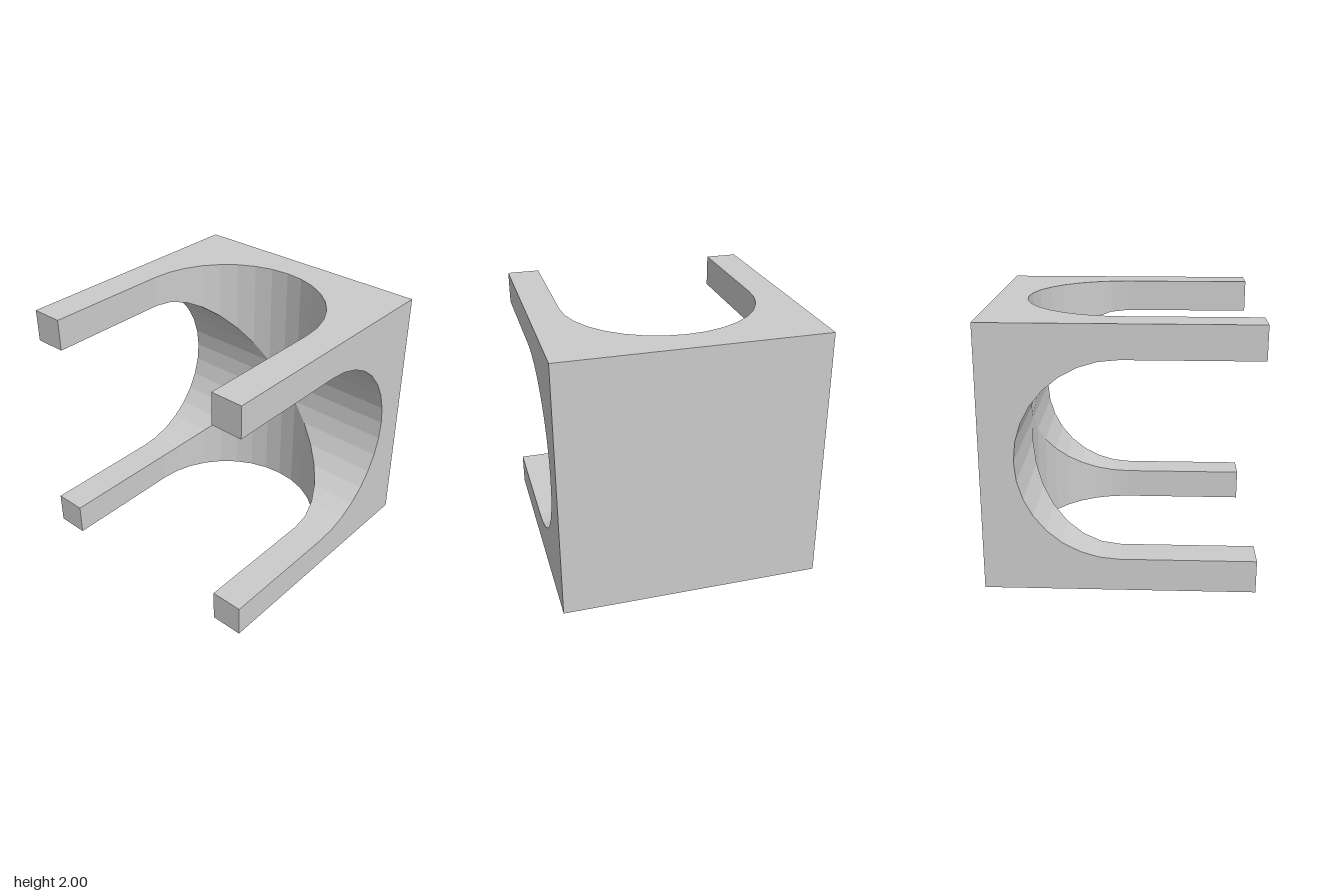
import * as THREE from 'three';

const HALF = 1;        // half the cube's side
const RADIUS = 0.75;   // radius of both U-shaped channels
const SEGMENTS = 16;   // facets in each half circle

// U-shaped channel outline as (across, z), open towards +z
function channelProfile() {
  const points = [new THREE.Vector2(-RADIUS, HALF)];
  for (let i = 0; i <= SEGMENTS; i++) {
    const a = Math.PI * (1 - i / SEGMENTS);
    points.push(new THREE.Vector2(RADIUS * Math.cos(a), -RADIUS * Math.sin(a)));
  }
  points.push(new THREE.Vector2(RADIUS, HALF));
  return points;
}

// Channel wall from the diagonal where the two channels meet out to the cube's face
function channelWallGeometry(profile) {
  const positions = [];
  for (let i = 0; i < profile.length - 1; i++) {
    const p = profile[i], q = profile[i + 1];
    const pIn = [p.x, Math.abs(p.x), p.y], pOut = [p.x, HALF, p.y];
    const qIn = [q.x, Math.abs(q.x), q.y], qOut = [q.x, HALF, q.y];
    positions.push(...pIn, ...qIn, ...qOut, ...pIn, ...qOut, ...pOut);
  }
  const geometry = new THREE.BufferGeometry();
  geometry.setAttribute('position', new THREE.Float32BufferAttribute(positions, 3));
  geometry.computeVertexNormals();
  return geometry;
}

// Flat outer face with the U cut out of it
function sideFaceGeometry(profile) {
  const shape = new THREE.Shape([
    ...profile.map((p) => new THREE.Vector2(p.x, -p.y)),
    new THREE.Vector2(HALF, -HALF),
    new THREE.Vector2(HALF, HALF),
    new THREE.Vector2(-HALF, HALF),
    new THREE.Vector2(-HALF, -HALF),
  ]);
  return new THREE.ShapeGeometry(shape).rotateX(-Math.PI / 2).translate(0, HALF, 0);
}

export function createModel() {
  const material = new THREE.MeshStandardMaterial({ color: 0xcccccc, flatShading: true });
  const profile = channelProfile();
  const postSize = HALF - RADIUS;
  const postCentre = (HALF + RADIUS) / 2;

  const parts = {
    channelWall: channelWallGeometry(profile),
    sideFace: sideFaceGeometry(profile),
    postEnd: new THREE.PlaneGeometry(postSize, postSize).translate(postCentre, postCentre, HALF),
  };

  const block = new THREE.Group();
  block.name = 'channelledBlock';
  block.position.y = HALF;

  // The same quarter repeats on the top, left, bottom and right
  ['top', 'right', 'bottom', 'left'].forEach((side, k) => {
    const quarter = new THREE.Group();
    quarter.name = `${side}Quarter`;
    for (const [name, geometry] of Object.entries(parts)) {
      const mesh = new THREE.Mesh(geometry, material);
      mesh.name = name;
      quarter.add(mesh);
    }
    quarter.rotation.z = -k * Math.PI / 2 * -1;
    block.add(quarter);
  });

  // Solid back
  const back = new THREE.Mesh(
    new THREE.PlaneGeometry(2 * HALF, 2 * HALF).rotateY(Math.PI).translate(0, 0, -HALF), material);
  back.name = 'backFace';
  block.add(back);

  const model = new THREE.Group();
  model.name = 'model';
  model.add(block);
  return model;
}
